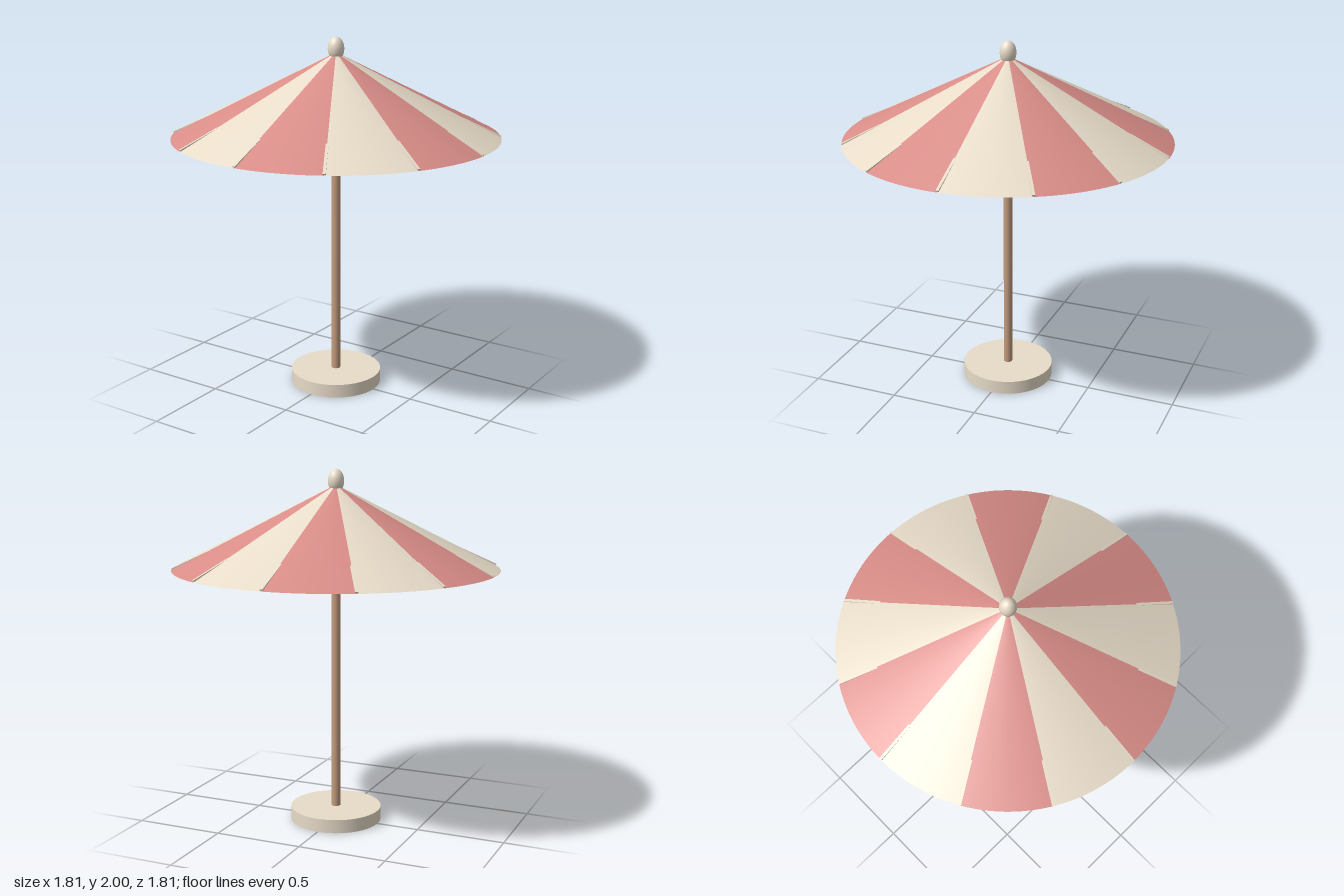
import * as THREE from 'three';

const material = (color) => new THREE.MeshStandardMaterial({ color });
const cream = material(0xe8dcc9);
const red = material(0xd88c87);
const wood = material(0xc29b7d);

const PANELS = 12;
const RIM = 0.905, RIM_Y = 1.457, APEX_Y = 1.915;
const RISE = APEX_Y - RIM_Y;

function add(parent, name, geometry, mat, y = 0) {
  const mesh = new THREE.Mesh(geometry, mat);
  mesh.name = name;
  mesh.position.y = y;
  parent.add(mesh);
  return mesh;
}

// Slim bar lying along the canopy slope, sinking into it away from the rim
function makeRib() {
  const slopeY = (r) => RIM_Y + RISE * (1 - r / RIM) + 0.004 - 0.046 * (0.9 - r);
  const inner = new THREE.Vector3(0, slopeY(0.3), 0.3);
  const outer = new THREE.Vector3(0, slopeY(0.903), 0.903);
  const rib = new THREE.Mesh(new THREE.BoxGeometry(0.015, 0.01, inner.distanceTo(outer)), cream);
  rib.name = 'rib';
  rib.position.copy(inner).lerp(outer, 0.5);
  rib.lookAt(outer);
  return rib;
}

export function createModel() {
  const model = new THREE.Group();
  model.name = 'parasol';

  // Stand
  add(model, 'base', new THREE.CylinderGeometry(0.258, 0.258, 0.077, 48), cream, 0.0385);
  add(model, 'pole', new THREE.CylinderGeometry(0.025, 0.025, 1.8, 24), wood, 0.95);

  // Canopy: alternating closed wedges, with a rib over every seam
  const canopy = new THREE.Group();
  canopy.name = 'canopy';
  model.add(canopy);
  const step = (Math.PI * 2) / PANELS;
  for (let i = 0; i < PANELS; i++) {
    const wedge = new THREE.ConeGeometry(RIM, RISE, 10, 1, false, i * step, step);
    add(canopy, 'canopyPanel', wedge, i % 2 ? cream : red, RIM_Y + RISE / 2);

    const pivot = new THREE.Group();
    pivot.name = 'ribPivot';
    pivot.rotation.y = i * step;
    pivot.add(makeRib());
    canopy.add(pivot);
  }

  // Egg-shaped finial
  const finial = add(model, 'finial', new THREE.SphereGeometry(0.045, 24, 16), cream, 1.935);
  finial.scale.y = 0.065 / 0.045;

  return model;
}
